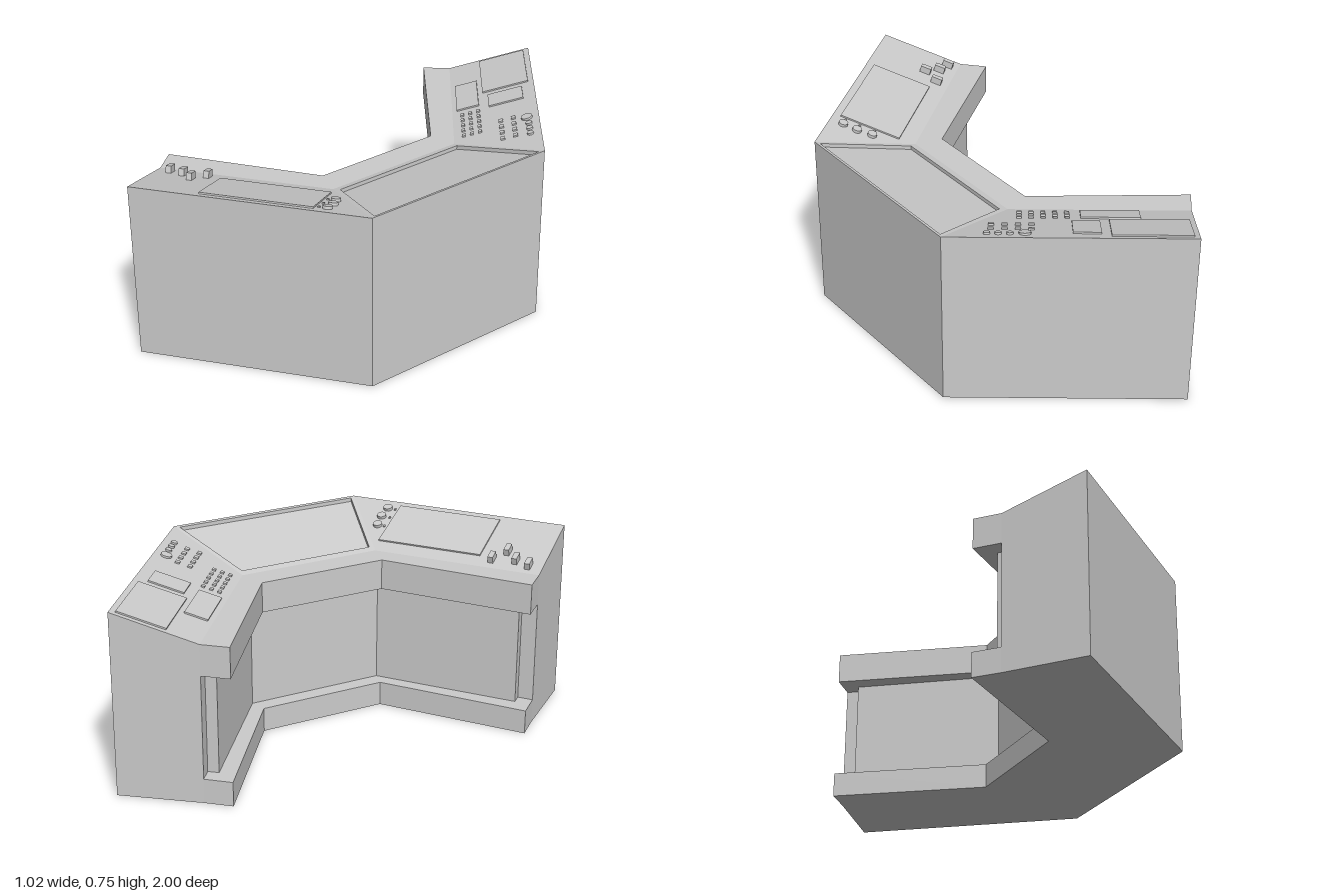
import * as THREE from 'three';

const mat = new THREE.MeshStandardMaterial({ color: 0xcccccc, flatShading: true });
const H = 0.745, LIP = 0.645;

// Plan corners of one half: outer wall, slope break, inner edge
const END = { O: [-0.23, 1], B: [-0.44, 0.735], I: [-0.515, 0.65] };
const CORNER = { O: [0.51, 0.42], B: [0.11, 0.302], I: [0, 0.27] };
const flip = (s) => Object.fromEntries(Object.entries(s).map(([k, [x, z]]) => [k, [x, -z]]));
const stations = [flip(END), flip(CORNER), CORNER, END];

function quadMesh(name, quads) {
  const pos = [];
  for (const [a, b, c, d] of quads) for (const p of [a, b, c, a, c, d]) pos.push(...p);
  const geo = new THREE.BufferGeometry();
  geo.setAttribute('position', new THREE.Float32BufferAttribute(pos, 3));
  geo.computeVertexNormals();
  const mesh = new THREE.Mesh(geo, mat);
  mesh.name = name;
  return mesh;
}

// Sweep section rings along the stations; caps list the quads closing each end
function sweep(rings, caps, skip = () => false) {
  const quads = [], n = rings[0].length;
  for (let k = 0; k < rings.length - 1; k++)
    for (let j = 0; j < n; j++) {
      if (skip(k, j)) continue;
      const m = (j + 1) % n;
      quads.push([rings[k][j], rings[k][m], rings[k + 1][m], rings[k + 1][j]]);
    }
  for (const cap of caps) {
    quads.push(cap.map((i) => rings[0][i]).reverse());
    quads.push(cap.map((i) => rings[rings.length - 1][i]));
  }
  return quads;
}

const at = ([x, z], y) => [x, y, z];

function consoleBody() {
  const rings = stations.map(({ O, B, I }) => [
    at(O, 0), at(O, H), at(B, LIP), at(I, LIP), at(I, 0.52),
    at(B, 0.52), at(B, 0.1), at(I, 0.1), at(I, 0), at(B, 0),
  ]);
  const caps = [[0, 1, 2, 9], [2, 3, 4, 5], [6, 7, 8, 9]];
  // The middle slope is left open for the sunken screen
  return quadMesh('consoleBody', sweep(rings, caps, (k, j) => k === 1 && j === 1));
}

function sunkenScreen() {
  const slopeY = (x) => LIP + (x - 0.11) * 0.25;
  const rim = [flip(CORNER).O, flip(CORNER).B, CORNER.B, CORNER.O].map((p) => at(p, slopeY(p[0])));
  const hole = [[0.497, -0.4], [0.14, -0.29], [0.14, 0.29], [0.497, 0.4]].map((p) => at(p, slopeY(p[0])));
  const floor = hole.map(([x, y, z]) => [x, y - 0.016, z]);
  const quads = [floor];
  for (let i = 0; i < 4; i++) {
    const j = (i + 1) % 4;
    quads.push([rim[i], rim[j], hole[j], hole[i]], [hole[i], hole[j], floor[j], floor[i]]);
  }
  return quadMesh('middleScreen', quads);
}

// Panel standing in the knee recess, stopping short of both ends
function recessPanel() {
  const lerp = (p, q, t) => [p[0] + (q[0] - p[0]) * t, p[1] + (q[1] - p[1]) * t];
  const inset = { B: lerp(END.B, CORNER.B, 0.09), I: lerp(END.I, CORNER.I, 0.1) };
  const rings = [flip(inset), flip(CORNER), CORNER, inset].map(({ B, I }) => {
    const F = lerp(I, B, 0.6);
    return [at(B, 0.1), at(B, 0.52), at(F, 0.52), at(F, 0.1)];
  });
  return quadMesh('recessPanel', sweep(rings, [[0, 1, 2, 3]]));
}

// Sloped control surface: t runs from the wing end to the corner, d from outer edge inward
function controlWing(side, name) {
  const group = new THREE.Group();
  group.name = name;
  const along = new THREE.Vector3(0.74, 0, -0.58 * side).normalize();
  const inward = new THREE.Vector3(-0.617 * 0.34, -0.1, -0.787 * side * 0.34).normalize();
  const zAxis = inward.clone().multiplyScalar(-side);
  const normal = new THREE.Vector3().crossVectors(zAxis, along);
  const m = new THREE.Matrix4().makeBasis(along, normal, zAxis).setPosition(-0.23, H, side);
  m.decompose(group.position, group.quaternion, group.scale);

  const add = (part, geo, t, d, y) => {
    const mesh = new THREE.Mesh(geo, mat);
    mesh.name = part;
    mesh.position.set(t, y, -side * d * 1.04);
    group.add(mesh);
  };
  const sink = 0.004;
  return {
    group,
    block: (part, t, d, w, l, h) =>
      add(part, new THREE.BoxGeometry(w, h + sink, l), t, d, (h - sink) / 2),
    slab: (part, t0, t1, d0, d1, h = 0.006) =>
      add(part, new THREE.BoxGeometry(t1 - t0, h + sink, (d1 - d0) * 1.04),
        (t0 + t1) / 2, (d0 + d1) / 2, (h - sink) / 2),
    knob: (part, t, d, r, h) =>
      add(part, new THREE.CylinderGeometry(r, r, h + sink, 16), t, d, (h - sink) / 2),
  };
}

function rightControls() {
  const w = controlWing(-1, 'backWingControls');
  w.slab('largeScreen', 0.02, 0.32, 0.022, 0.21);
  w.slab('lowerScreen', 0.2, 0.425, 0.23, 0.32);
  w.slab('sideScreen', 0.355, 0.46, 0.05, 0.19);
  w.knob('largeDial', 0.635, 0.048, 0.023, 0.008);
  for (const t of [0.69, 0.733, 0.775]) w.knob('smallDial', t, 0.043, 0.013, 0.008);
  // Upper and lower key banks
  for (let i = 0; i < 4; i++)
    for (const d of [0.1, 0.15]) w.block('upperKey', 0.61 + i * 0.05, d, 0.022, 0.018, 0.006);
  for (let i = 0; i < 5; i++)
    for (const d of [0.235, 0.268, 0.3]) w.block('lowerKey', 0.475 + i * 0.045, d, 0.018, 0.014, 0.006);
  return w.group;
}

function leftControls() {
  const w = controlWing(1, 'frontWingControls');
  w.slab('wideScreen', 0.268, 0.71, 0.03, 0.275);
  for (const [t, d] of [[0.056, 0.295], [0.116, 0.275], [0.165, 0.227], [0.212, 0.288]])
    w.block('lever', t, d, 0.022, 0.045, 0.028);
  for (const [t, d] of [[0.755, 0.176], [0.762, 0.115], [0.757, 0.056]]) {
    w.knob('knob', t, d, 0.019, 0.012);
    w.block('indicator', 0.725, d, 0.008, 0.01, 0.005);
  }
  return w.group;
}

export function createModel() {
  const model = new THREE.Group();
  model.name = 'controlConsole';
  model.add(consoleBody(), sunkenScreen(), recessPanel(), rightControls(), leftControls());
  return model;
}
